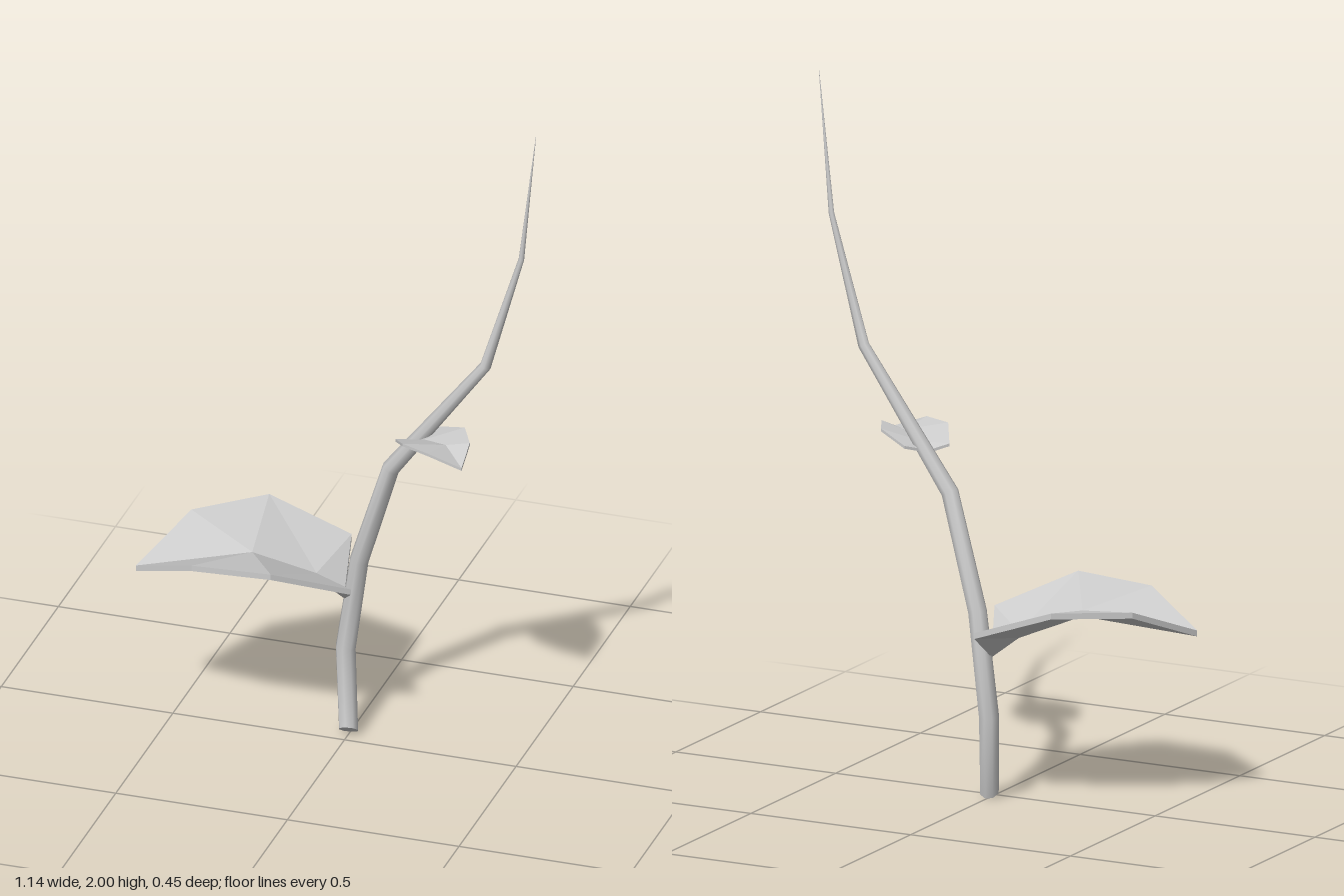
import * as THREE from 'three';

const V = (p) => new THREE.Vector3(...p);

function geometryFrom(points, index) {
  const g = new THREE.BufferGeometry().setFromPoints(points);
  g.setIndex(index);
  g.computeVertexNormals();
  return g;
}

// Tapering stem: a ring of vertices at every joint, closed at the bottom
function stemGeometry(joints, sides) {
  const centres = joints.map((j) => V(j));
  const points = [], index = [];
  const last = joints.length - 1;
  centres.forEach((c, i) => {
    const dir = i === 0
      ? V([-0.1, 0.75, -0.6])
      : centres[Math.min(i + 1, last)].clone().sub(centres[i - 1]);
    dir.normalize();
    const u = new THREE.Vector3(0, 0, 1).cross(dir).negate().normalize();
    const w = u.clone().cross(dir).normalize();
    for (let s = 0; s < sides; s++) {
      const a = (s / sides) * Math.PI * 2;
      points.push(c.clone()
        .addScaledVector(u, Math.cos(a) * joints[i][3])
        .addScaledVector(w, Math.sin(a) * joints[i][3]));
    }
  });
  for (let i = 0; i < last; i++) {
    for (let s = 0; s < sides; s++) {
      const a = i * sides + s, b = i * sides + (s + 1) % sides;
      index.push(a, a + sides, b, b, a + sides, b + sides);
    }
  }
  // Separate vertices keep the cut end crisp
  const cap = points.length;
  for (let s = 0; s < sides; s++) points.push(points[s].clone());
  for (let s = 1; s < sides - 1; s++) index.push(cap, cap + s, cap + s + 1);
  return geometryFrom(points, index);
}

// Faceted leaf folded along its rib [base, near, far, tip], with three edge
// points on each side; "right" is the right-hand side looking from base to tip
function leafGeometry(rib, right, left, thickness) {
  const top = [...rib, ...right, ...left].map(V);
  const n = top.length;
  const points = [...top, ...top.map((p) => p.clone().setY(p.y - thickness))];
  const index = [];
  const face = (a, b, c) => index.push(a, b, c, a + n, c + n, b + n);
  for (const [e, flip] of [[4, false], [7, true]]) {
    const tris = [
      [0, e, 1], [1, e, e + 1], [1, e + 1, 2],
      [2, e + 1, e + 2], [2, e + 2, 3],
    ];
    tris.forEach(([a, b, c]) => (flip ? face(a, c, b) : face(a, b, c)));
  }
  // Rim
  const loop = [0, 4, 5, 6, 3, 9, 8, 7];
  loop.forEach((a, i) => {
    const b = loop[(i + 1) % loop.length];
    index.push(a, a + n, b, b, a + n, b + n);
  });
  return geometryFrom(points, index).toNonIndexed();
}

export function createModel() {
  const model = new THREE.Group();
  const add = (name, geometry, flatShading) => {
    const material = new THREE.MeshStandardMaterial({
      color: 0xcccccc, flatShading, side: THREE.DoubleSide,
    });
    const mesh = new THREE.Mesh(geometry, material);
    mesh.name = name;
    model.add(mesh);
  };

  // x, y, z, radius
  add('stem', stemGeometry([
    [0.002, 0.022, -0.03, 0.028],
    [-0.024, 0.25, -0.083, 0.029],
    [0.022, 0.54, -0.064, 0.027],
    [0.125, 0.86, -0.032, 0.025],
    [0.41, 1.24, -0.004, 0.016],
    [0.52, 1.6, 0.013, 0.008],
    [0.568, 2.0, 0.03, 0.0005],
  ], 8), false);

  add('largeLeaf', leafGeometry(
    [[-0.02, 0.43, -0.06], [-0.095, 0.49, -0.04], [-0.262, 0.558, 0.02], [-0.568, 0.515, 0.12]],
    [[-0.055, 0.525, -0.228], [-0.295, 0.61, -0.228], [-0.475, 0.602, -0.087]],
    [[0.045, 0.522, 0.08], [-0.14, 0.61, 0.225], [-0.372, 0.597, 0.22]],
    0.017), true);

  add('smallLeaf', leafGeometry(
    [[0.2, 0.968, -0.015], [0.235, 0.985, 0.005], [0.31, 1.0, 0.045], [0.385, 0.983, 0.132]],
    [[0.157, 0.983, 0.025], [0.205, 1.018, 0.108], [0.29, 1.018, 0.142]],
    [[0.245, 0.988, -0.075], [0.338, 1.018, -0.038], [0.38, 1.018, 0.045]],
    0.008), true);

  return model;
}
